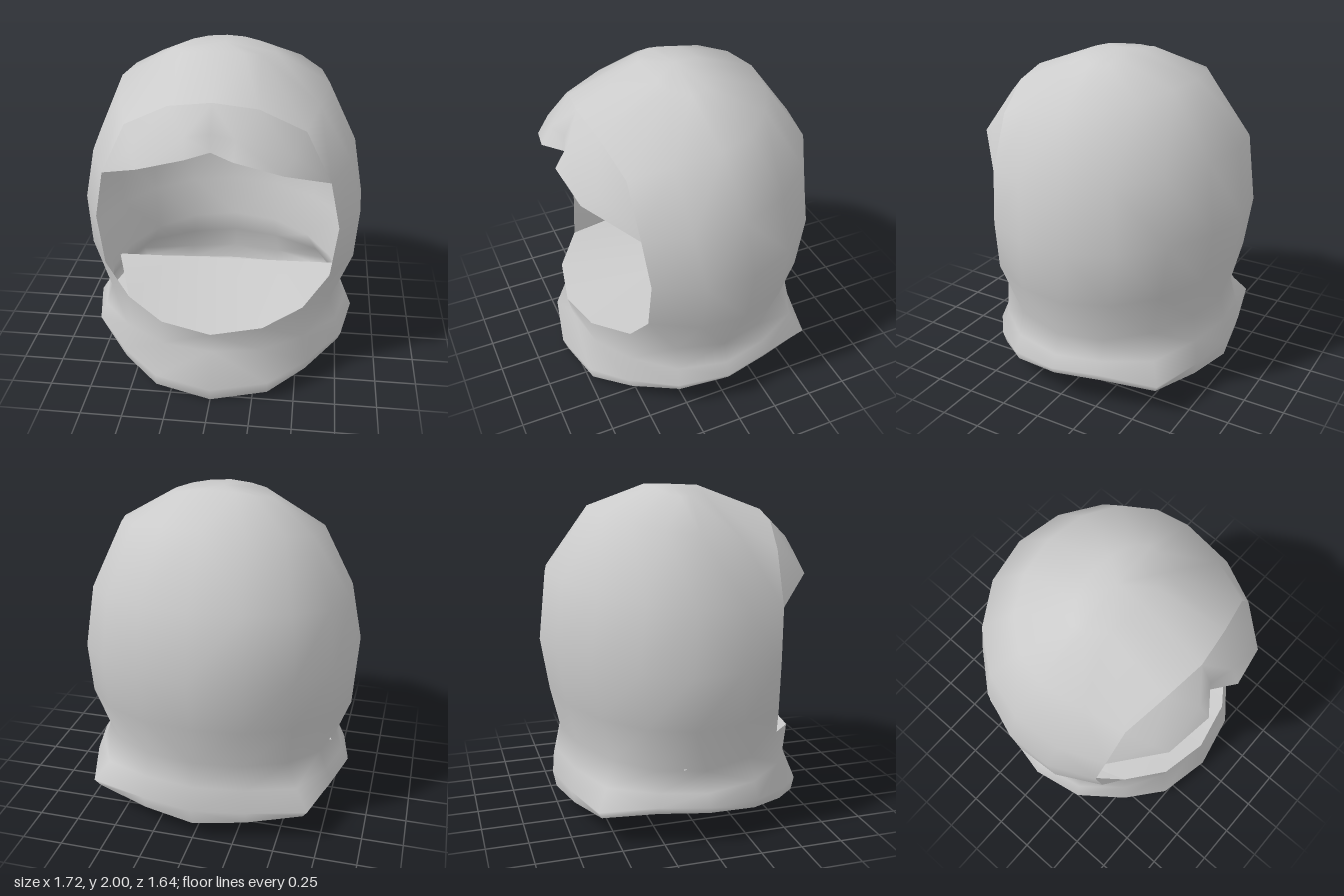
import * as THREE from 'three';
import { mergeVertices } from 'three/addons/utils/BufferGeometryUtils.js';

const material = new THREE.MeshStandardMaterial({ color: 0xcccccc, side: THREE.DoubleSide });

const distance = (p, q) => Math.hypot(p[0] - q[0], p[1] - q[1], p[2] - q[2]);

// Smooth skin over one or more patches; a patch is a list of rows of points,
// and each quad is split along its shorter diagonal
function skin(...patches) {
  const points = [], index = [];
  for (const rows of patches) {
    const base = points.length, n = rows[0].length;
    points.push(...rows.flat());
    for (let r = 0; r < rows.length - 1; r++) {
      for (let c = 0; c < n - 1; c++) {
        const a = base + r * n + c, b = a + n;
        if (distance(points[a], points[b + 1]) < distance(points[a + 1], points[b])) {
          index.push(a, a + 1, b + 1, a, b + 1, b);
        } else {
          index.push(a, a + 1, b, a + 1, b + 1, b);
        }
      }
    }
  }
  let g = new THREE.BufferGeometry();
  g.setAttribute('position', new THREE.Float32BufferAttribute(points.flat(), 3));
  g.setIndex(index);
  g = mergeVertices(g, 1e-3);
  g.computeVertexNormals();
  return g;
}

const flip = (points) => points.map(([x, y, z]) => [-x, y, z]).reverse();

// Row from the given front points round to the back and mirrored to the other side:
// heights of the six steps, half width, front and back depth, flare of the rear corner
function section(front, heights, halfWidth, frontDepth, backDepth, flare = 1) {
  const [x, , z] = front[front.length - 1];
  const start = Math.atan2(x, z);
  const half = [...front];
  heights.forEach((y, i) => {
    const t = start + (Math.PI - start) * (i + 1) / heights.length;
    const c = Math.cos(t), k = i === 3 ? flare : 1;
    half.push([halfWidth * Math.sin(t) * k, y, (c > 0 ? frontDepth : backDepth) * c * k]);
  });
  return [...half, ...flip(half.slice(0, -1))];
}

export function createModel() {
  const group = new THREE.Group();
  const add = (name, geometry) => {
    const mesh = new THREE.Mesh(geometry, material);
    mesh.name = name;
    group.add(mesh);
  };

  // Edges of the face opening
  const lip = [[0, 0.45, 0.76], [0.3, 0.48, 0.7], [0.53, 0.53, 0.53]];
  const temple = [0.66, 1.34, 0.49];
  const browLine = [[0, 1.83, 0.6], [0.25, 1.79, 0.565], [0.51, 1.65, 0.505]];

  // Collar, sides and crown joined in one skin
  const hem = section([[0, 0, 0.79], [0.34, 0.04, 0.73], [0.56, 0.1, 0.55]],
    [0.165, 0.2, 0.205, 0.17, 0.13, 0.11], 0.82, 0.8, 0.75, 1.12);
  const neck = section(lip, [0.46, 0.43, 0.44, 0.47, 0.5, 0.51], 0.75, 0.78, 0.71);
  const brim = section(browLine, [1.72, 1.77, 1.79, 1.83, 1.86, 1.87], 0.625, 0.7, 0.5);
  add('hood', skin(
    [
      hem,
      section([[0, 0.09, 0.82], [0.34, 0.12, 0.75], [0.57, 0.17, 0.57]],
        [0.22, 0.24, 0.25, 0.22, 0.21, 0.21], 0.84, 0.83, 0.77, 1.14),
      section([[0, 0.31, 0.73], [0.3, 0.31, 0.68], [0.54, 0.33, 0.54]],
        [0.32, 0.31, 0.32, 0.33, 0.35, 0.36], 0.795, 0.79, 0.74, 1.06),
      neck,
    ],
    [
      neck.slice(2, -2),
      section([[0.68, 0.73, 0.47]], [0.72, 0.71, 0.72, 0.74, 0.76, 0.77], 0.85, 0.82, 0.77),
      section([[0.72, 1.04, 0.46]], [1.03, 1.03, 1.05, 1.07, 1.08, 1.09], 0.87, 0.85, 0.82),
      section([temple], [1.37, 1.39, 1.42, 1.46, 1.49, 1.5], 0.803, 0.86, 0.775),
      brim.slice(2, -2),
    ],
    [
      brim,
      section([[0, 1.99, 0.18], [0.13, 1.98, 0.17], [0.23, 1.965, 0.14]],
        [1.955, 1.95, 1.96, 1.98, 1.995, 2], 0.31, 0.2, 0.14),
      brim.map(() => [0, 2, 0]),
    ],
  ));

  // Brow flap over the opening, notched at the centre
  const mirrored = (half) => [...flip(half.slice(1)), ...half];
  add('brow', skin([
    [[0, 1.58, 0.69], [0.13, 1.57, 0.785], [0.4, 1.48, 0.735], temple],
    [[0, 1.68, 0.68], [0.14, 1.67, 0.72], [0.45, 1.56, 0.65], temple],
    [...browLine, temple],
  ].map(mirrored)));

  // Inner shelf from the lip of the opening back to the middle of the neck
  const shelfBack = [-2, -1, 0, 1, 2].map((i) => [0.37 * i, 0.5 + 0.028 * i, -0.055 + 0.038 * i]);
  add('innerShelf', skin([mirrored(lip), shelfBack]));

  // Closed underside of the collar
  add('underside', skin([[...hem].reverse(), hem.map(() => [0, 0.2, -0.1])]));
  return group;
}
